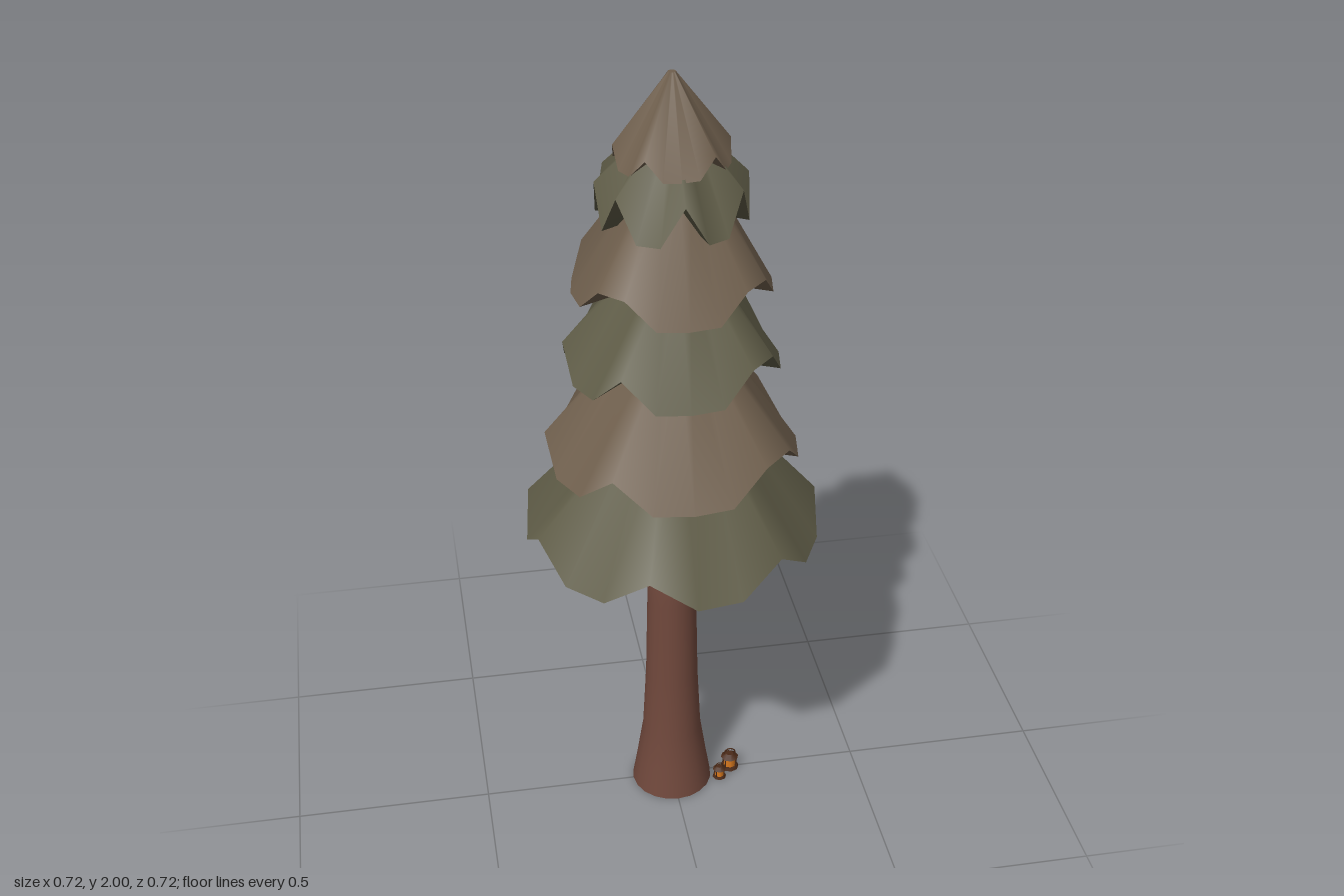
import * as THREE from 'three';

const SEGMENTS = 20;
const mat = (color, extra = {}) => new THREE.MeshStandardMaterial({ color, ...extra });
const green = mat(0x5f5c47, { side: THREE.DoubleSide });
const brown = mat(0x6f5f4d, { side: THREE.DoubleSide });
const bark = mat(0x70483c);
const metal = mat(0x4a2a18);
const glow = mat(0xd0741c);

// rim radius, low rim y, raised rim y, top radius, top y, raised rim points (counted from +x towards +z)
const tiers = [
  [0.362, 0.815, 0.89, 0.12, 1.16, [0, 3, 6, 9, 11, 14, 17], green],
  [0.308, 1.045, 1.12, 0.09, 1.37, [2, 3, 7, 10, 13, 17, 18], brown],
  [0.258, 1.285, 1.36, 0.09, 1.55, [2, 3, 7, 10, 13, 17, 18], green],
  [0.235, 1.485, 1.55, 0.09, 1.75, [2, 3, 7, 8, 12, 13, 17, 18], brown],
  [0.176, 1.66, 1.755, 0.06, 1.87, [0, 2, 5, 8, 10, 12, 15, 18], green],
  [0.133, 1.795, 1.84, 0.009, 2.0, [0, 3, 7, 10, 13, 17], brown],
];

function add(parent, name, geometry, material, x = 0, y = 0, z = 0) {
  const mesh = new THREE.Mesh(geometry, material);
  mesh.name = name;
  mesh.position.set(x, y, z);
  parent.add(mesh);
  return mesh;
}

// Skirt of foliage: notched rim, sloping side, closed top and underside
function tierGeometry([radius, low, high, topRadius, topY, raised]) {
  const positions = [], index = [];
  const ring = (r, heightAt) => {
    const start = positions.length / 3;
    for (let i = 0; i < SEGMENTS; i++) {
      const a = (i / SEGMENTS) * Math.PI * 2;
      positions.push(r * Math.cos(a), heightAt(i), r * Math.sin(a));
    }
    return start;
  };
  const centre = (y) => positions.push(0, y, 0) / 3 - 1;
  const rimY = (i) => (raised.includes(i) ? high : low);
  const rim = ring(radius, rimY), top = ring(topRadius, () => topY);
  const under = ring(radius, rimY), lid = ring(topRadius, () => topY);
  const underCentre = centre(low + 0.02), lidCentre = centre(topY);
  for (let i = 0; i < SEGMENTS; i++) {
    const j = (i + 1) % SEGMENTS;
    index.push(rim + i, top + i, rim + j, rim + j, top + i, top + j);
    index.push(underCentre, under + i, under + j);
    index.push(lidCentre, lid + j, lid + i);
  }
  const geometry = new THREE.BufferGeometry();
  geometry.setAttribute('position', new THREE.Float32BufferAttribute(positions, 3));
  geometry.setIndex(index);
  geometry.computeVertexNormals();
  return geometry;
}

// Small lantern standing on its own y = 0, about 0.065 tall
function lantern(name, x, y, z, scale = 1) {
  const group = new THREE.Group();
  group.name = name;
  add(group, 'lanternBase', new THREE.CylinderGeometry(0.022, 0.025, 0.007, 8), metal, 0, 0.0035, 0);
  add(group, 'lanternGlass', new THREE.CylinderGeometry(0.013, 0.016, 0.028, 8), glow, 0, 0.021, 0);
  for (let i = 0; i < 4; i++) {
    const a = (i + 0.5) * Math.PI / 2;
    add(group, 'lanternPost', new THREE.CylinderGeometry(0.002, 0.002, 0.03, 5), metal,
      0.02 * Math.cos(a), 0.021, 0.02 * Math.sin(a));
  }
  add(group, 'lanternCap', new THREE.CylinderGeometry(0.01, 0.024, 0.011, 8), metal, 0, 0.0405, 0);
  add(group, 'lanternHandle', new THREE.TorusGeometry(0.015, 0.0018, 5, 12, Math.PI), metal, 0, 0.046, 0);
  group.position.set(x, y, z);
  group.scale.setScalar(scale);
  return group;
}

export function createModel() {
  const tree = new THREE.Group();
  tree.name = 'tree';

  // Trunk flaring out at the root
  const profile = [[0, 0], [0.105, 0], [0.105, 0], [0.092, 0.08], [0.077, 0.18], [0.068, 0.36],
    [0.063, 0.6], [0.06, 0.86], [0, 0.86]].map(([r, y]) => new THREE.Vector2(r, y));
  add(tree, 'trunk', new THREE.LatheGeometry(profile, 20), bark);

  // Foliage tiers, bottom to top
  tiers.forEach((tier, i) => add(tree, `foliageTier${i + 1}`, tierGeometry(tier), tier[6]));

  // Lanterns hanging from the lowest tier
  for (const [name, z] of [['frontHangingLantern', 0.155], ['backHangingLantern', -0.18]]) {
    const hanging = lantern(name, 0.16, 0.765, z);
    add(hanging, 'lanternCord', new THREE.CylinderGeometry(0.0015, 0.0015, 0.03, 5), metal, 0, 0.07, 0);
    tree.add(hanging);
  }

  // Lanterns on the ground beside the trunk
  tree.add(lantern('largeGroundLantern', 0.16, 0, 0));
  tree.add(lantern('smallGroundLantern', 0.125, 0, 0.035, 0.75));
  return tree;
}
